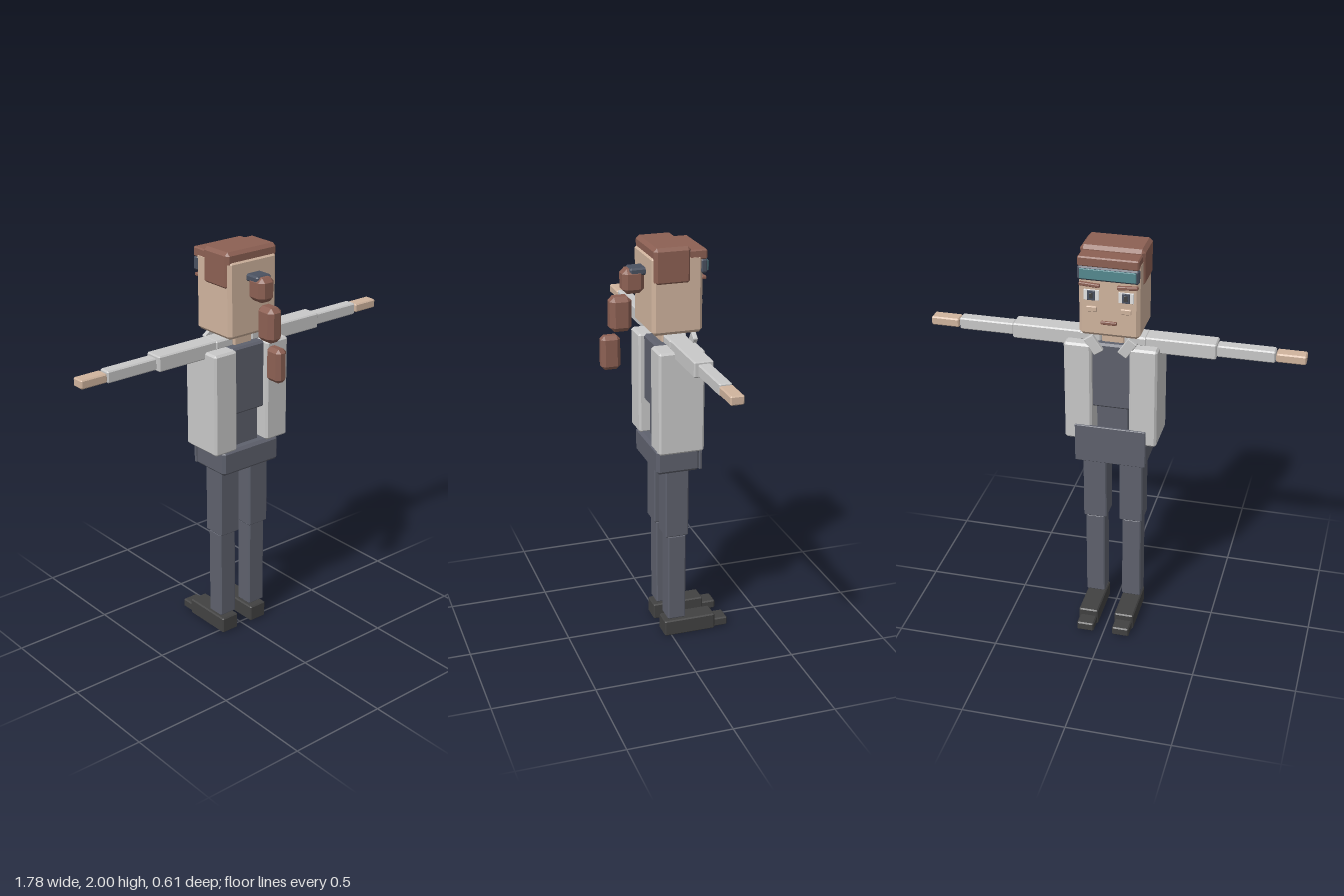
import * as THREE from 'three';
import { ConvexGeometry } from 'three/addons/geometries/ConvexGeometry.js';

const paint = (name, color) => {
  const m = new THREE.MeshStandardMaterial({ color, flatShading: true });
  m.name = name;
  return m;
};

// Box with chamfered edges, given by its two extreme corners
function chamferBox([x0, y0, z0], [x1, y1, z1], c) {
  const h = [(x1 - x0) / 2, (y1 - y0) / 2, (z1 - z0) / 2];
  const points = [];
  for (const sx of [-1, 1]) for (const sy of [-1, 1]) for (const sz of [-1, 1]) {
    for (let full = 0; full < 3; full++) {
      const p = h.map((v, i) => (i === full ? v : v - c));
      points.push(new THREE.Vector3(p[0] * sx, p[1] * sy, p[2] * sz));
    }
  }
  return new ConvexGeometry(points);
}

export function createModel() {
  const model = new THREE.Group();
  model.name = 'blockFigure';

  const skin = paint('skin', 0xd0b49e);
  const hair = paint('hair', 0x8c6053);
  const coat = paint('coat', 0xc8c8c8);
  const cloth = paint('cloth', 0x5e616d);
  const shoeBlack = paint('shoeBlack', 0x414141);
  const frame = paint('frame', 0x4a5160);
  const teal = paint('teal', 0x55898f);
  const white = paint('eyeWhite', 0xe4e4e4);

  function block(name, mat, a, b, c = 0.006) {
    const mesh = new THREE.Mesh(chamferBox(a, b, c), mat);
    mesh.position.set((a[0] + b[0]) / 2, (a[1] + b[1]) / 2, (a[2] + b[2]) / 2);
    mesh.name = name;
    model.add(mesh);
    return mesh;
  }

  // Same block on both sides of the body; roll tilts it in mirror image
  function pair(name, mat, a, b, c, roll = 0) {
    block(name + 'Left', mat, a, b, c).rotation.z = roll;
    block(name + 'Right', mat, [-b[0], a[1], a[2]], [-a[0], b[1], b[2]], c).rotation.z = -roll;
  }

  // Legs and shoes (toes point to -z)
  pair('thigh', cloth, [0.032, 0.555, -0.082], [0.148, 0.92, 0.035]);
  pair('shin', cloth, [0.045, 0.095, -0.072], [0.14, 0.555, 0.02]);
  pair('shoe', shoeBlack, [0.043, 0, -0.23], [0.14, 0.083, 0.035]);
  pair('toe', shoeBlack, [0.048, 0.005, -0.3], [0.133, 0.05, -0.22]);

  // Hips with a raised front panel, waist and torso
  block('hips', cloth, [-0.172, 0.905, -0.13], [0.172, 1.03, 0.088], 0.014);
  block('hipPanel', cloth, [-0.172, 0.91, -0.14], [0.172, 1.105, -0.125], 0.003);
  block('waist', cloth, [-0.076, 1.02, -0.085], [0.076, 1.2, 0.045]);
  block('torso', cloth, [-0.1, 1.195, -0.105], [0.1, 1.53, 0.065], 0.01);

  // Open coat and lapels
  pair('coatSide', coat, [0.09, 1.025, -0.132], [0.222, 1.53, 0.092], 0.01);
  pair('lapel', coat, [0.055, 1.485, -0.13], [0.105, 1.575, -0.108], 0.003, -0.6);
  pair('collar', coat, [0.055, 1.525, -0.08], [0.16, 1.57, 0.02], 0.008);

  // Outstretched arms
  pair('upperArm', coat, [0.15, 1.495, -0.076], [0.483, 1.57, 0.017]);
  pair('forearm', coat, [0.483, 1.503, -0.06], [0.75, 1.56, 0]);
  pair('hand', skin, [0.753, 1.51, -0.062], [0.89, 1.553, 0.002]);

  // Neck, head and hair
  block('neck', skin, [-0.053, 1.51, -0.075], [0.053, 1.6, 0.025]);
  block('head', skin, [-0.142, 1.588, -0.147], [0.142, 1.96, 0.098], 0.016);
  block('hairCap', hair, [-0.15, 1.825, -0.088], [0.15, 2, 0.09], 0.016);
  block('fringe', hair, [-0.141, 1.933, -0.166], [0.141, 1.98, -0.08]);

  // Goggles on the forehead
  block('goggleFrame', frame, [-0.142, 1.868, -0.168], [0.142, 1.935, -0.135], 0.008);
  block('goggleLens', teal, [-0.13, 1.878, -0.175], [0.13, 1.926, -0.166], 0.002);

  // Face
  pair('brow', hair, [0.04, 1.836, -0.164], [0.136, 1.852, -0.142], 0.003, 0.06);
  pair('eye', white, [0.045, 1.768, -0.153], [0.115, 1.818, -0.144], 0.001);
  pair('iris', frame, [0.062, 1.77, -0.159], [0.098, 1.816, -0.151], 0.001);
  pair('pupil', shoeBlack, [0.072, 1.78, -0.163], [0.088, 1.806, -0.157], 0.001);
  pair('cheek', skin, [0.055, 1.712, -0.157], [0.105, 1.738, -0.144], 0.003);
  block('mouth', hair, [-0.037, 1.653, -0.158], [0.037, 1.669, -0.144], 0.003);

  // Segmented ponytail with its tie
  block('hairTie', frame, [-0.043, 1.855, 0.09], [0.043, 1.89, 0.172], 0.008);
  block('ponytailTop', hair, [-0.045, 1.768, 0.1], [0.045, 1.885, 0.205], 0.022);
  block('ponytailMiddle', hair, [-0.041, 1.59, 0.16], [0.041, 1.757, 0.265], 0.022);
  block('ponytailEnd', hair, [-0.031, 1.408, 0.215], [0.031, 1.573, 0.308], 0.018);

  return model;
}
